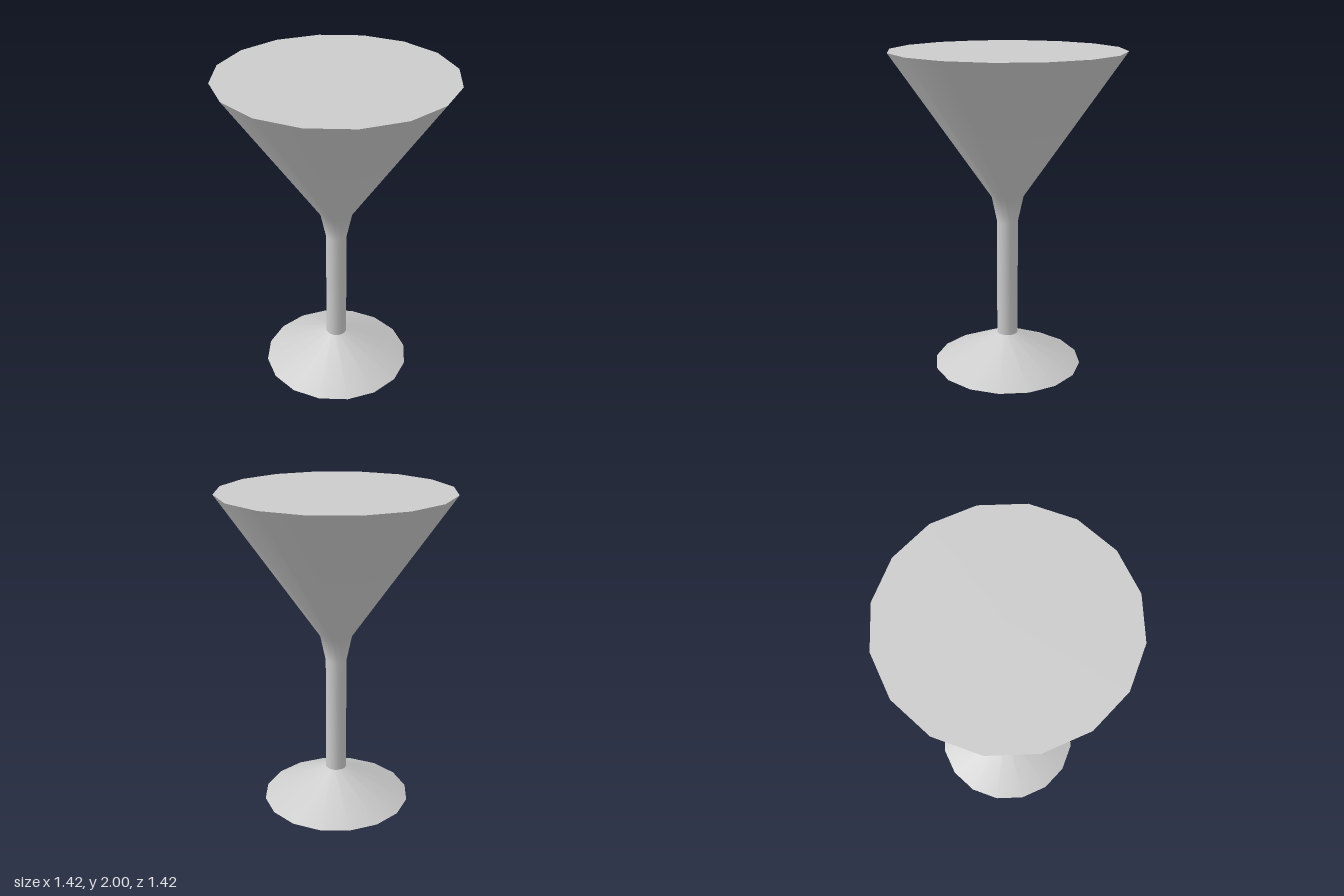
import * as THREE from 'three';

const SIDES = 16;

export function createModel() {
  const glass = new THREE.Group();
  glass.name = 'cocktailGlass';
  const material = new THREE.MeshStandardMaterial({ color: 0xcccccc });

  function add(name, geometry, y = 0) {
    const mesh = new THREE.Mesh(geometry, material);
    mesh.name = name;
    mesh.position.y = y;
    glass.add(mesh);
    return mesh;
  }

  // Surface of revolution from [radius, height] pairs, bottom to top
  const turned = (profile) =>
    new THREE.LatheGeometry(profile.map(([r, y]) => new THREE.Vector2(r, y)), SIDES);

  // Conical foot with a flat underside
  add('foot', turned([[0.47, 0], [0.066, 0.2]]));
  add('footUnderside', new THREE.CircleGeometry(0.47, SIDES).rotateX(Math.PI / 2));

  // Stem flaring smoothly into the bowl
  add('stemAndBowl', turned([[0.066, 0.2], [0.066, 0.95], [0.1, 1.11], [0.71, 2]]));

  // Flat surface closing the bowl at the rim
  add('bowlTop', new THREE.CircleGeometry(0.71, SIDES).rotateX(-Math.PI / 2), 2);

  return glass;
}
